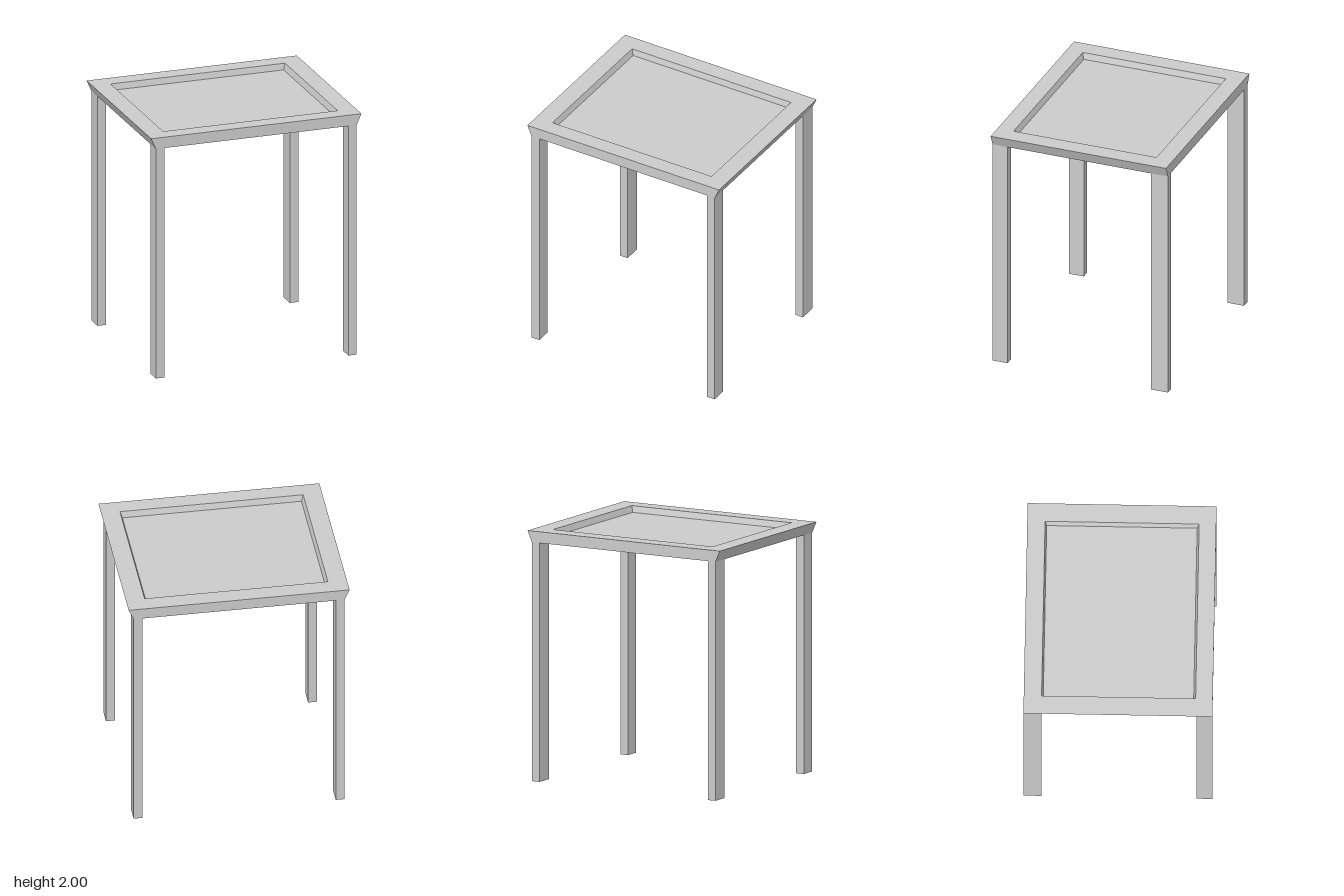
import * as THREE from 'three';

const material = new THREE.MeshStandardMaterial({ color: 0xcccccc, flatShading: true });

// Rectangular ring of corners at height y, counter-clockwise from above
const ring = (y, x, zBack, zFront) => [
  [-x, y, zFront], [x, y, zFront], [x, y, zBack], [-x, y, zBack],
];

// Closed solid that joins successive rings and caps the first and last
function loftRings(rings) {
  const positions = [];
  const quad = (a, b, c, d) => positions.push(...a, ...b, ...c, ...a, ...c, ...d);
  for (let r = 0; r < rings.length - 1; r++) {
    const low = rings[r], high = rings[r + 1];
    for (let i = 0; i < 4; i++) {
      const j = (i + 1) % 4;
      quad(low[i], low[j], high[j], high[i]);
    }
  }
  quad(...[...rings[0]].reverse());
  quad(...rings[rings.length - 1]);
  const geometry = new THREE.BufferGeometry();
  geometry.setAttribute('position', new THREE.Float32BufferAttribute(positions, 3));
  geometry.computeVertexNormals();
  return geometry;
}

export function createModel() {
  const model = new THREE.Group();
  model.name = 'table';

  const height = 2, underside = 1.91, halfDepth = 0.743;

  // Top with flared ends and a shallow sloped recess
  const top = new THREE.Mesh(loftRings([
    ring(underside, 0.84, -halfDepth, halfDepth),
    ring(height, 0.88, -halfDepth, halfDepth),
    ring(height, 0.73, -0.603, 0.609),
    ring(height - 0.05, 0.713, -0.59, 0.593),
  ]), material);
  top.name = 'tableTop';
  model.add(top);

  // Four straight legs, flush with the front and back edges
  const legWidth = 0.07;
  for (const [end, zSide, depth] of [['front', 1, 0.127], ['back', -1, 0.142]]) {
    for (const [side, xSide] of [['Left', 1], ['Right', -1]]) {
      const leg = new THREE.Mesh(new THREE.BoxGeometry(legWidth, underside, depth), material);
      leg.position.set(xSide * (0.84 - legWidth / 2), underside / 2, zSide * (halfDepth - depth / 2));
      leg.name = `${end}${side}Leg`;
      model.add(leg);
    }
  }
  return model;
}
